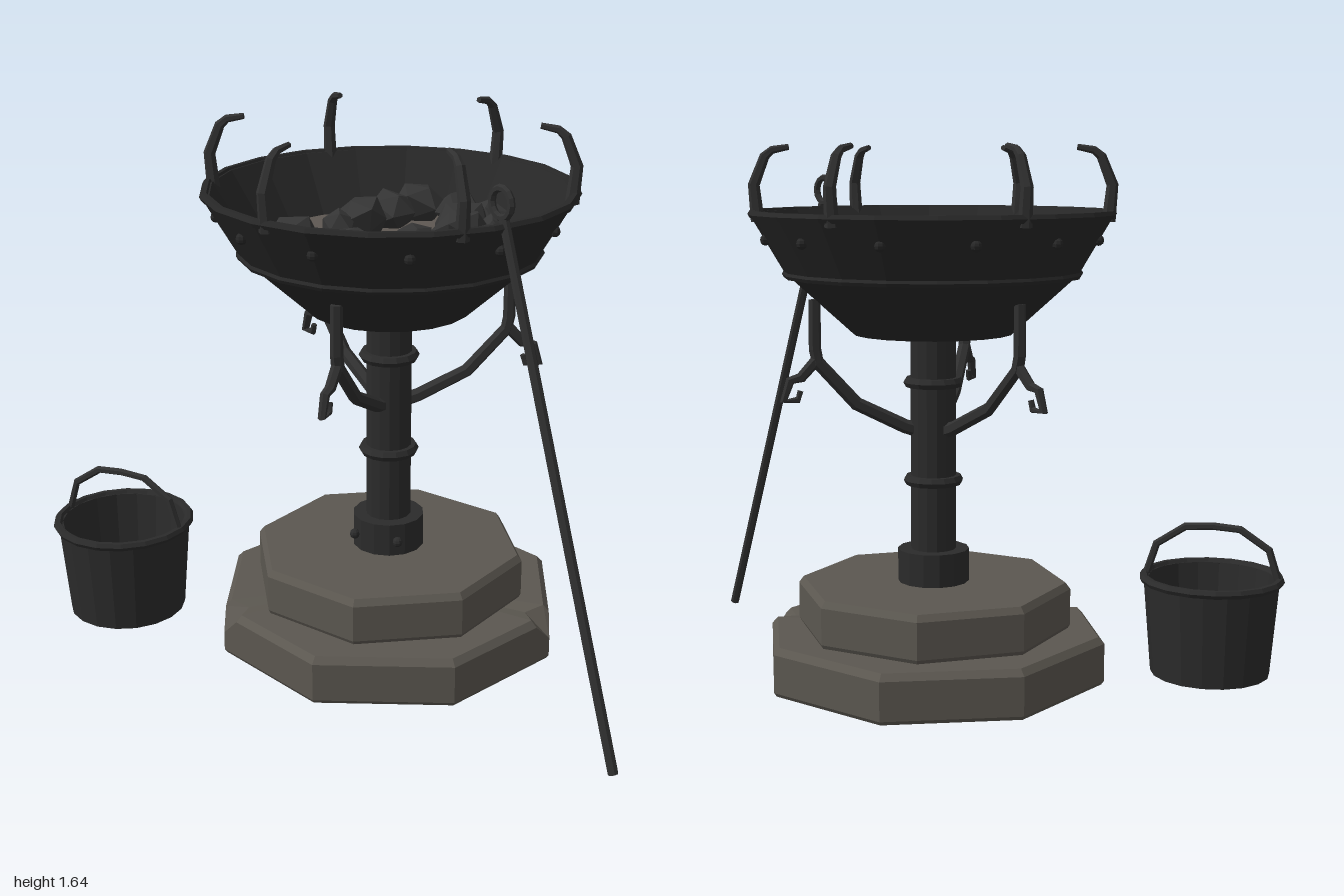
import * as THREE from 'three';

const paint = (name, color) => Object.assign(new THREE.MeshStandardMaterial({ color }), { name });

// Faceted normals for every part
function flat(geo) {
  const g = geo.index ? geo.toNonIndexed() : geo;
  g.computeVertexNormals();
  return g;
}

function add(parent, name, geo, mat, x = 0, y = 0, z = 0) {
  const m = new THREE.Mesh(flat(geo), mat);
  m.name = name;
  m.position.set(x, y, z);
  parent.add(m);
  return m;
}

// Skin a stack of equal rings and close both ends
function loft(rings) {
  const pos = [], n = rings[0].length;
  const tri = (...v) => v.forEach((p) => pos.push(p.x, p.y, p.z));
  const mid = (r) => r.reduce((s, p) => s.add(p), new THREE.Vector3()).divideScalar(n);
  const first = rings[0], last = rings[rings.length - 1];
  const c0 = mid(first), c1 = mid(last);
  for (let j = 0; j < n; j++) {
    const k = (j + 1) % n;
    for (let i = 0; i + 1 < rings.length; i++) {
      const a = rings[i], b = rings[i + 1];
      tri(a[j], b[j], a[k]);
      tri(a[k], b[j], b[k]);
    }
    tri(c0, first[j], first[k]);
    tri(c1, last[k], last[j]);
  }
  const g = new THREE.BufferGeometry();
  g.setAttribute('position', new THREE.Float32BufferAttribute(pos, 3));
  return g;
}

// Tapered bent bar along [x, y] points in the XY plane
function bar(path, r0, r1 = r0, sides = 6) {
  const pts = path.map(([x, y]) => new THREE.Vector3(x, y, 0));
  const side = new THREE.Vector3(0, 0, 1);
  return loft(pts.map((p, i) => {
    const a = pts[Math.max(i - 1, 0)], b = pts[Math.min(i + 1, pts.length - 1)];
    const across = side.clone().cross(b.clone().sub(a).normalize());
    const r = THREE.MathUtils.lerp(r0, r1, i / (pts.length - 1));
    return Array.from({ length: sides }, (_, j) => {
      const t = (j + 0.5) / sides * Math.PI * 2;
      return p.clone().addScaledVector(side, r * Math.cos(t)).addScaledVector(across, r * Math.sin(t));
    });
  }));
}

// Bevelled eight-sided stone slab; listed corners are broken off at the top
function slab(R, y0, y1, turn, chips = []) {
  const corner = (k) => new THREE.Vector3(Math.cos(turn + k * Math.PI / 4), 0, Math.sin(turn + k * Math.PI / 4));
  const levels = [[y0, 0.985], [y0 + 0.012, 1], [y1 - 0.02, 1], [y1, 0.965]];
  return loft(levels.map(([y, s], level) => {
    const ring = [];
    for (let k = 0; k < 8; k++) {
      const c = corner(k);
      for (const d of [-1, 0, 1]) {
        const p = d ? c.clone().lerp(corner(k + d), 0.15) : c.clone();
        p.multiplyScalar(R * s).setY(y);
        if (d === 0 && chips.includes(k)) {
          if (level === 2) p.y -= 0.06;
          if (level === 3) p.multiplyScalar(0.88).setY(y - 0.008);
        }
        ring.push(p);
      }
    }
    return ring;
  }));
}

const lathe = (pts, sides) => new THREE.LatheGeometry(pts.map(([x, y]) => new THREE.Vector2(x, y)), sides);
const hoop = (r, tube, sides) => new THREE.TorusGeometry(r, tube, 6, sides).rotateX(Math.PI / 2);

// Group turned so that its +x points along angle a (from +x towards +z)
function spoke(parent, name, a) {
  const g = new THREE.Group();
  g.name = name;
  g.rotation.y = -a;
  parent.add(g);
  return g;
}

export function createModel() {
  const iron = paint('iron', 0x2b2b2b);
  const bowlIron = paint('dark iron', 0x272727);
  const barIron = paint('worn iron', 0x303030);
  const stone = paint('stone', 0x5b5750);
  const ash = paint('ash', 0x5e5852);
  const coal = paint('coal', 0x343434);
  const model = new THREE.Group();
  model.name = 'brazier set';

  const brazier = new THREE.Group();
  brazier.name = 'brazier';
  brazier.position.x = 0.067;
  model.add(brazier);

  // Stone steps
  add(brazier, 'lowerStep', slab(0.545, 0, 0.15, 0, [0, 3]), stone);
  add(brazier, 'upperStep', slab(0.428, 0.15, 0.295, -Math.PI / 18), stone);

  // Column with collar and rings
  add(brazier, 'column', new THREE.CylinderGeometry(0.07, 0.07, 0.79, 14), iron, 0, 0.685, 0);
  add(brazier, 'collar', new THREE.CylinderGeometry(0.111, 0.111, 0.105, 14), iron, 0, 0.345, 0);
  for (const y of [0.615, 0.92]) add(brazier, 'columnRing', hoop(0.076, 0.017, 14), iron, 0, y, 0);
  for (const s of [-1, 1]) add(brazier, 'collarRivet', new THREE.SphereGeometry(0.016, 8, 6), iron, s * 0.073, 0.345, 0.094);

  // Bowl, its bands and rivets
  add(brazier, 'bowl', lathe([[0, 1.07], [0.245, 1.07], [0.45, 1.255], [0.55, 1.425],
    [0.55, 1.438], [0.53, 1.438], [0.41, 1.25], [0, 1.25]], 20), bowlIron);
  add(brazier, 'bowlRim', hoop(0.546, 0.014, 20), bowlIron, 0, 1.433, 0);
  add(brazier, 'bowlBand', hoop(0.447, 0.012, 20), bowlIron, 0, 1.253, 0);
  for (let i = 0; i < 12; i++) {
    const a = i * Math.PI / 6;
    add(brazier, 'bowlRivet', new THREE.SphereGeometry(0.017, 8, 6), bowlIron, 0.51 * Math.cos(a), 1.36, 0.51 * Math.sin(a));
  }

  // Six curved prongs on the rim
  for (let i = 0; i < 6; i++) {
    const g = spoke(brazier, 'rimProng', Math.PI / 4 + i * Math.PI / 3);
    add(g, 'prong', bar([[0.532, 1.41], [0.542, 1.52], [0.508, 1.605], [0.485, 1.624], [0.435, 1.633]], 0.021, 0.009), barIron);
  }

  // Three support arms with hanging hooks
  for (let i = 0; i < 3; i++) {
    const g = spoke(brazier, 'supportArm', Math.PI / 2 + i * Math.PI * 2 / 3);
    add(g, 'arm', bar([[0.03, 0.765], [0.09, 0.785], [0.24, 0.86], [0.358, 0.99], [0.366, 1.03], [0.366, 1.18]], 0.023, 0.018), barIron);
    add(g, 'hook', bar([[0.355, 1.005], [0.41, 0.945], [0.443, 0.937], [0.463, 0.876], [0.42, 0.878], [0.412, 0.905]], 0.018, 0.009), barIron);
  }

  // Ash bed
  add(brazier, 'ashBed', new THREE.CircleGeometry(0.418, 20).rotateX(-Math.PI / 2), ash, 0, 1.262, 0);

  // Coals: [x, z, radius]
  const coals = [[-0.05, -0.33, 0.085], [0.09, -0.325, 0.075], [-0.09, -0.215, 0.085], [-0.135, -0.105, 0.085],
    [-0.175, -0.02, 0.06], [-0.215, 0.205, 0.09], [-0.08, 0.08, 0.05], [-0.135, 0.31, 0.05], [-0.03, 0.33, 0.08],
    [0.08, 0, 0.055], [0.19, -0.11, 0.09], [0.23, -0.205, 0.085], [0.22, -0.03, 0.095], [0.3, 0.01, 0.07],
    [0.3, 0.14, 0.075], [0.18, -0.275, 0.055], [0.285, -0.1, 0.07], [0.25, 0.045, 0.065]];
  coals.forEach(([x, z, r], i) => {
    const g = new THREE.IcosahedronGeometry(r, 0);
    const p = g.attributes.position, v = new THREE.Vector3();
    for (let j = 0; j < p.count; j++) {
      v.fromBufferAttribute(p, j);
      // uneven lump, same shift for coincident corners
      v.multiplyScalar(1 + 0.14 * Math.sin(v.x / r * 5 + v.y / r * 3 + v.z / r * 7 + i * 2.1));
      p.setXYZ(j, v.x, v.y * 0.85, v.z);
    }
    add(brazier, 'coal', g, coal, x, 1.262 + r * 0.55, z).rotation.y = i * 1.3;
  });

  // Poker leaning on the rim
  const poker = spoke(model, 'poker', Math.atan2(0.27, 0.465));
  poker.position.set(0.515, 0, 0.275);
  add(poker, 'pokerShaft', bar([[0.012, 1.455], [0.54, 0.012]], 0.015, 0.015, 8), barIron);
  add(poker, 'pokerRing', new THREE.TorusGeometry(0.041, 0.011, 6, 14), barIron, 0, 1.497, 0);

  // Bucket
  const bucket = new THREE.Group();
  bucket.name = 'bucket';
  bucket.position.set(-0.773, 0, 0.225);
  model.add(bucket);
  add(bucket, 'bucketBody', lathe([[0, 0], [0.186, 0], [0.212, 0.305], [0.196, 0.305], [0.172, 0.03], [0, 0.03]], 18), iron);
  add(bucket, 'bucketRim', hoop(0.212, 0.014, 18), iron, 0, 0.303, 0);
  add(bucket, 'bucketHandle', bar([[-0.207, 0.3], [-0.175, 0.402], [-0.085, 0.462], [0, 0.468],
    [0.085, 0.462], [0.175, 0.402], [0.207, 0.3]], 0.012), barIron);

  return model;
}
